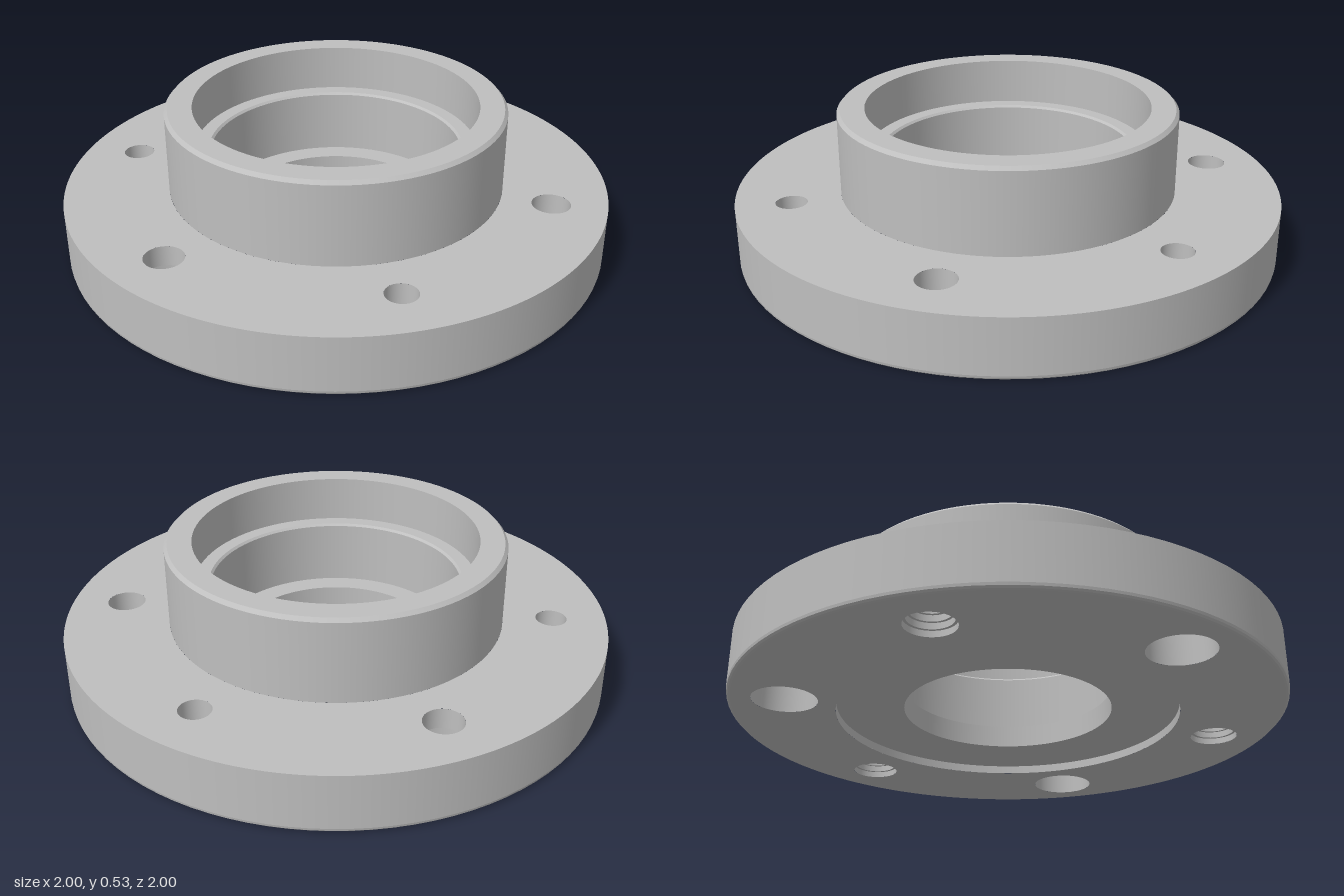
import * as THREE from 'three';
import { mergeGeometries } from 'three/addons/utils/BufferGeometryUtils.js';

const SEG = 96;
const FLANGE_TOP = 0.22;
const BOLT_RADIUS = 0.8;

// Revolve each profile segment separately so that edges stay sharp
function turned(points, segments = SEG) {
  const parts = [];
  for (let i = 0; i < points.length - 1; i++) {
    const pair = [points[i], points[i + 1]].map(([r, y]) => new THREE.Vector2(r, y));
    parts.push(new THREE.LatheGeometry(pair, segments));
  }
  return mergeGeometries(parts);
}

// Flat ring with round holes, facing up or down
function ringFace(outer, inner, holes, y, up) {
  const shape = new THREE.Shape().absarc(0, 0, outer, 0, Math.PI * 2, false);
  const cut = (x, z, r) => shape.holes.push(
    new THREE.Path().absarc(x, up ? -z : z, r, 0, Math.PI * 2, true));
  cut(0, 0, inner);
  holes.forEach((h) => cut(h.x, h.z, h.r));
  const g = new THREE.ShapeGeometry(shape, SEG);
  g.rotateX(up ? -Math.PI / 2 : Math.PI / 2);
  g.translate(0, y, 0);
  return g;
}

export function createModel() {
  const group = new THREE.Group();
  const steel = new THREE.MeshStandardMaterial({ color: 0xbfbfbf });
  steel.name = 'grey steel';
  const add = (name, geometry, x = 0, z = 0) => {
    const mesh = new THREE.Mesh(geometry, steel);
    mesh.name = name;
    mesh.position.set(x, 0, z);
    group.add(mesh);
  };

  // Six holes, alternating counterbored and stepped, starting at the back
  const holes = [];
  for (let i = 0; i < 6; i++) {
    const a = (i * Math.PI) / 3;
    holes.push({
      x: BOLT_RADIUS * Math.sin(a),
      z: -BOLT_RADIUS * Math.cos(a),
      wide: i % 2 === 0,
    });
  }

  // Flange: rim with a rounded lower edge, and pierced faces
  add('flangeRim', turned([[0.984, 0], [0.992, 0.003], [0.998, 0.009], [1, 0.018], [1, FLANGE_TOP]]));
  add('flangeTop', ringFace(1, 0.62,
    holes.map((h) => ({ ...h, r: h.wide ? 0.07 : 0.057 })), FLANGE_TOP, true));
  add('flangeUnderside', ringFace(0.984, 0.62,
    holes.map((h) => ({ ...h, r: h.wide ? 0.116 : 0.086 })), 0, false));

  // Hub: outer wall, chamfered rim, stepped bore and shallow recess below
  add('hubWall', turned([[0.62, FLANGE_TOP], [0.62, 0.52], [0.608, 0.533], [0.52, 0.533]]));
  add('hubBore', turned([[0.52, 0.533], [0.52, 0.36], [0.468, 0.36], [0.46, 0.352],
    [0.46, 0.113], [0.377, 0.113], [0.377, 0.03]]));
  add('undersideRecess', turned([[0.377, 0.03], [0.62, 0.03], [0.62, 0]]));

  // Hole walls
  const counterbore = turned([[0.07, FLANGE_TOP], [0.07, 0.145], [0.116, 0.145], [0.116, 0]], 48);
  const stepped = turned([[0.057, FLANGE_TOP], [0.057, 0.066], [0.067, 0.066], [0.067, 0.044],
    [0.076, 0.044], [0.076, 0.022], [0.086, 0.022], [0.086, 0]], 48);
  holes.forEach((h) => add(h.wide ? 'counterboredHole' : 'steppedHole',
    h.wide ? counterbore : stepped, h.x, h.z));

  return group;
}
